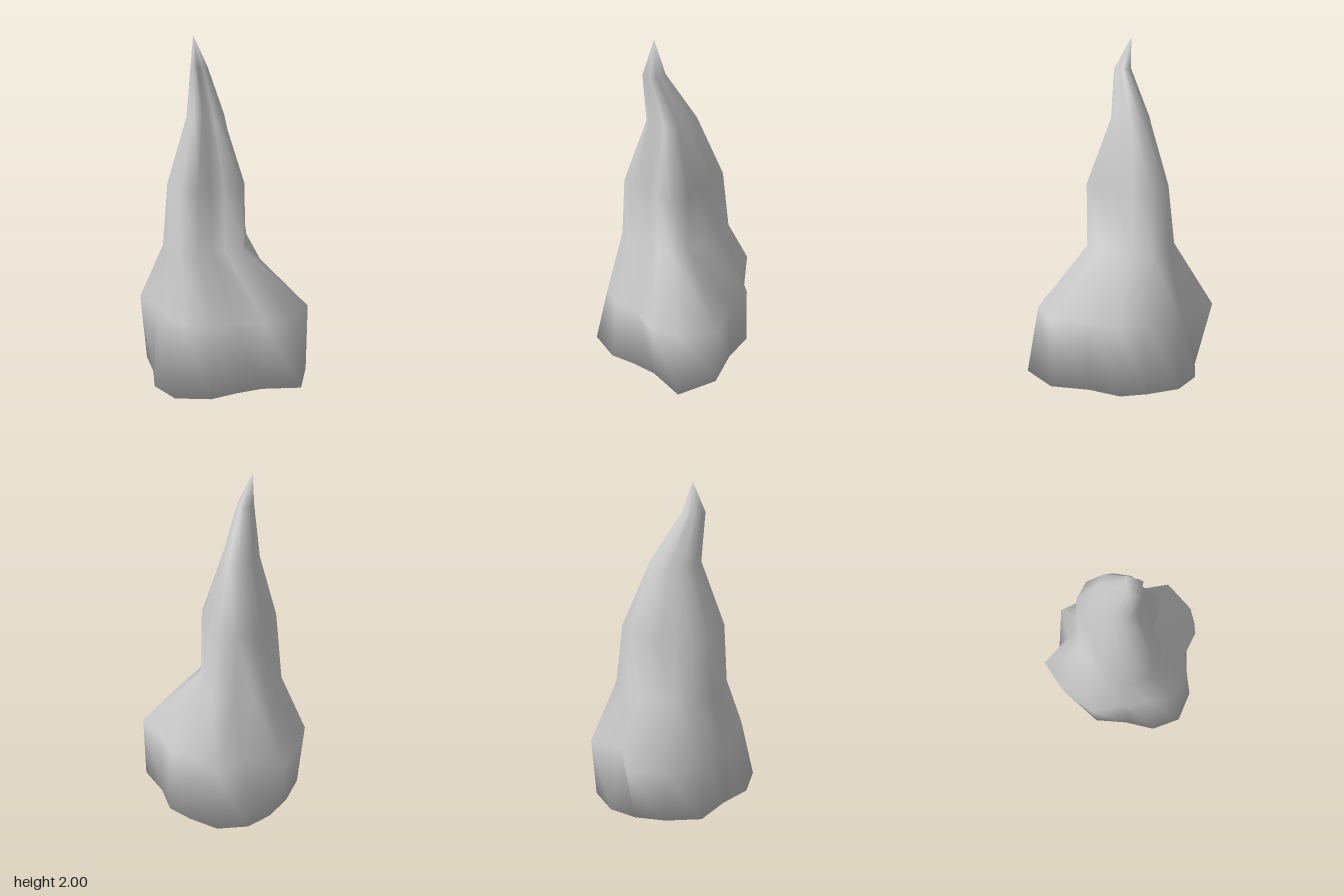
import * as THREE from 'three';

// Uneven directions (degrees) of the facets, starting near +x and turning towards +z
const angles = [-3, 22, 47.7, 68, 88, 105, 126, 146, 167, 193, 220, 244.4, 265, 287, 310, 331];
const SIDES = angles.length;

// Radii of the cross-sections along those directions
const baseRadii = [.415, .53, .595, .455, .455, .52, .572, .533, .45, .48, .445, .46, .49, .49, .447, .448];
const bulgeRadii = [.405, .532, .52, .485, .40, .465, .475, .43, .42, .513, .522, .557, .39, .507, .39, .43];
const shaftRadii = [.22, .24, .28, .22, .20, .32, .32, .30, .28, .26, .23, .26, .28, .32, .35, .31];
const neckRadii = [.21, .24, .285, .22, .20, .27, .285, .27, .235, .21, .18, .19, .23, .28, .31, .25];

// Stacked cross-sections: height, centre and scaled radii
const rings = [
  { y: 0, x: 0, z: 0, radii: baseRadii, scale: 1 },
  { y: 0.41, x: 0, z: 0, radii: bulgeRadii, scale: 1 },
  { y: 0.77, x: -0.09, z: -0.02, radii: shaftRadii, scale: 1 },
  { y: 1.15, x: -0.10, z: -0.02, radii: neckRadii, scale: 1 },
  { y: 1.54, x: -0.093, z: -0.008, radii: shaftRadii, scale: 0.43 },
  { y: 1.82, x: -0.14, z: 0.075, radii: shaftRadii, scale: 0.19 },
];

function spireGeometry() {
  const positions = [];
  const index = [];

  for (const { y, x, z, radii, scale } of rings) {
    for (let i = 0; i < SIDES; i++) {
      const a = THREE.MathUtils.degToRad(angles[i]);
      const r = radii[i] * scale;
      positions.push(x + r * Math.cos(a), y, z + r * Math.sin(a));
    }
  }
  const tip = rings.length * SIDES;
  const baseCentre = tip + 1;
  positions.push(-0.17, 2, 0.035, 0, 0, 0);

  for (let i = 0; i < SIDES; i++) {
    const j = (i + 1) % SIDES;
    // Walls
    for (let k = 0; k < rings.length - 1; k++) {
      const lo = k * SIDES;
      const hi = lo + SIDES;
      index.push(lo + i, hi + i, hi + j, lo + i, hi + j, lo + j);
    }
    // Point and underside
    const top = tip - SIDES;
    index.push(top + i, tip, top + j);
    index.push(baseCentre, i, j);
  }

  const geometry = new THREE.BufferGeometry();
  geometry.setAttribute('position', new THREE.Float32BufferAttribute(positions, 3));
  geometry.setIndex(index);
  geometry.computeVertexNormals();
  return geometry;
}

export function createModel() {
  const group = new THREE.Group();
  group.name = 'stalagmite';
  const material = new THREE.MeshStandardMaterial({ color: 0xcccccc });
  const spire = new THREE.Mesh(spireGeometry(), material);
  spire.name = 'rockSpire';
  group.add(spire);
  return group;
}
